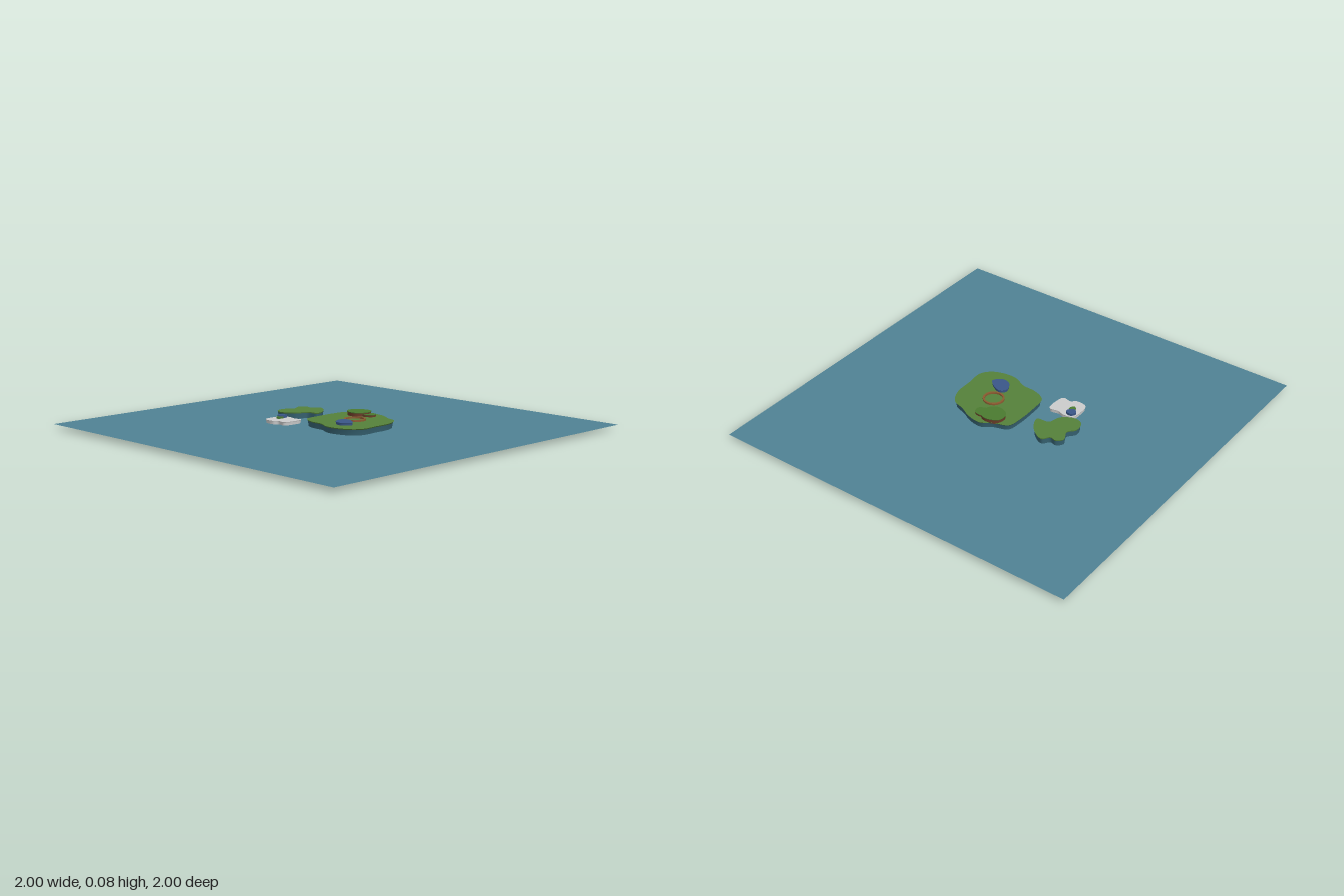
import * as THREE from 'three';

const WATER_Y = 0.022;
const mat = (color) => new THREE.MeshStandardMaterial({ color, side: THREE.DoubleSide });
const MATS = {
  water: mat(0x4f8294), grass: mat(0x55803a), cliff: mat(0x35606f), pale: mat(0xcccccc),
  blue: mat(0x3a5688), bush: mat(0x4a7a30), earth: mat(0x6b3c28), ring: mat(0x8a5a30), dark: mat(0x1d242c),
};

// Smooth closed outline on the ground plane from a few [x, z] points
function outline(points, samples) {
  const curve = new THREE.CatmullRomCurve3(points.map(([x, z]) => new THREE.Vector3(x, 0, z)), true);
  return curve.getPoints(samples).slice(0, -1);
}

function scaled(ring, k) {
  const c = ring.reduce((a, p) => a.add(p), new THREE.Vector3()).divideScalar(ring.length);
  return ring.map((p) => p.clone().sub(c).multiplyScalar(k).add(c));
}

// Wall following the outline; profile is a list of [scale, y] from bottom to top
function wallGeometry(ring, profile) {
  const pos = [], idx = [], n = ring.length;
  for (const [k, y] of profile) for (const p of scaled(ring, k)) pos.push(p.x, y, p.z);
  for (let r = 0; r < profile.length - 1; r++) {
    for (let i = 0; i < n; i++) {
      const a = r * n + i, b = r * n + (i + 1) % n;
      idx.push(a, a + n, b, b, a + n, b + n);
    }
  }
  const g = new THREE.BufferGeometry();
  g.setAttribute('position', new THREE.Float32BufferAttribute(pos, 3));
  g.setIndex(idx);
  g.computeVertexNormals();
  return g;
}

function capGeometry(ring, y) {
  const shape = new THREE.Shape(ring.map((p) => new THREE.Vector2(p.x, -p.z)));
  return new THREE.ShapeGeometry(shape).rotateX(-Math.PI / 2).translate(0, y, 0);
}

// Flat-topped slab: side wall, thin rim and top, open underneath
function slab(name, points, y0, y1, topMat, sideMat, samples = 72) {
  const g = new THREE.Group();
  g.name = name;
  const ring = outline(points, samples);
  const rimY = y1 - (y1 - y0) * 0.14;
  const add = (part, geo, m) => {
    const mesh = new THREE.Mesh(geo, m);
    mesh.name = part;
    g.add(mesh);
  };
  add('side', wallGeometry(ring, [[0.955, y0], [0.96, y0 + (y1 - y0) * 0.4], [0.98, rimY]]), sideMat);
  add('rim', wallGeometry(ring, [[0.98, rimY], [1, y1]]), topMat);
  add('top', capGeometry(ring, y1), topMat);
  return g;
}

export function createModel() {
  const model = new THREE.Group();
  model.name = 'islands';

  // Sheet of water
  const water = new THREE.Mesh(new THREE.PlaneGeometry(2, 2).rotateX(-Math.PI / 2).translate(0, WATER_Y, 0), MATS.water);
  water.name = 'water';
  model.add(water);

  // Land masses
  model.add(
    slab('mainIsland', [[-0.11, -0.09], [-0.02, -0.1], [0.08, -0.1], [0.16, -0.085], [0.19, -0.01], [0.225, 0.045],
      [0.215, 0.12], [0.18, 0.19], [0.155, 0.255], [0.08, 0.295], [-0.02, 0.3], [-0.115, 0.303], [-0.165, 0.265],
      [-0.192, 0.19], [-0.19, 0.125], [-0.16, 0.06], [-0.155, -0.01], [-0.135, -0.065]], 0.015, 0.055, MATS.grass, MATS.cliff, 120),
    slab('backIsland', [[-0.08, -0.315], [-0.065, -0.36], [-0.01, -0.375], [0.035, -0.345], [0.095, -0.368],
      [0.125, -0.34], [0.12, -0.305], [0.155, -0.275], [0.13, -0.22], [0.075, -0.175], [0.03, -0.165],
      [0.02, -0.225], [-0.045, -0.25]], 0.015, 0.055, MATS.grass, MATS.cliff, 96),
    slab('paleRock', [[-0.225, -0.225], [-0.215, -0.285], [-0.155, -0.295], [-0.1, -0.285], [-0.09, -0.235],
      [-0.1, -0.2], [-0.095, -0.15], [-0.15, -0.14], [-0.21, -0.155], [-0.205, -0.2]], 0.015, 0.04, MATS.pale, MATS.pale),
  );

  // Raised patches on the land
  model.add(
    slab('bluePatch', [[-0.13, 0.165], [-0.115, 0.115], [-0.06, 0.095], [-0.037, 0.12], [-0.055, 0.17], [-0.09, 0.203]],
      0.05, 0.068, MATS.blue, MATS.blue),
    slab('highBush', [[0.095, -0.01], [0.125, -0.04], [0.175, -0.035], [0.203, 0.025], [0.19, 0.065], [0.155, 0.08],
      [0.115, 0.07], [0.09, 0.04]], 0.05, 0.075, MATS.bush, MATS.earth),
    slab('lowBush', [[0.12, 0.07], [0.155, 0.06], [0.185, 0.07], [0.178, 0.11], [0.14, 0.118]], 0.05, 0.066, MATS.bush, MATS.earth),
    slab('rockBluePatch', [[-0.147, -0.265], [-0.125, -0.288], [-0.1, -0.27], [-0.11, -0.238], [-0.135, -0.245]],
      0.038, 0.052, MATS.blue, MATS.blue, 40),
    slab('rockGreenPatch', [[-0.17, -0.25], [-0.155, -0.267], [-0.13, -0.258], [-0.135, -0.238], [-0.157, -0.236]],
      0.038, 0.048, MATS.bush, MATS.bush, 40),
  );

  // Open well through the main island
  const well = new THREE.Group();
  well.name = 'well';
  const tube = (y0, y1) => new THREE.LatheGeometry(
    [[0.045, y0], [0.055, y0], [0.055, y1], [0.045, y1], [0.045, y0]].map(([r, y]) => new THREE.Vector2(r, y)), 40).toNonIndexed();
  [['wellRing', 0.045, 0.064, MATS.ring], ['wellShaft', 0, 0.045, MATS.pale]].forEach(([name, y0, y1, m]) => {
    const geo = tube(y0, y1);
    geo.computeVertexNormals();
    const mesh = new THREE.Mesh(geo, m);
    mesh.name = name;
    well.add(mesh);
  });
  const floor = new THREE.Mesh(new THREE.CircleGeometry(0.046, 40).rotateX(-Math.PI / 2).translate(0, 0.046, 0), MATS.dark);
  floor.name = 'wellFloor';
  well.add(floor);
  well.position.set(0.025, 0, 0.11);
  model.add(well);

  return model;
}
